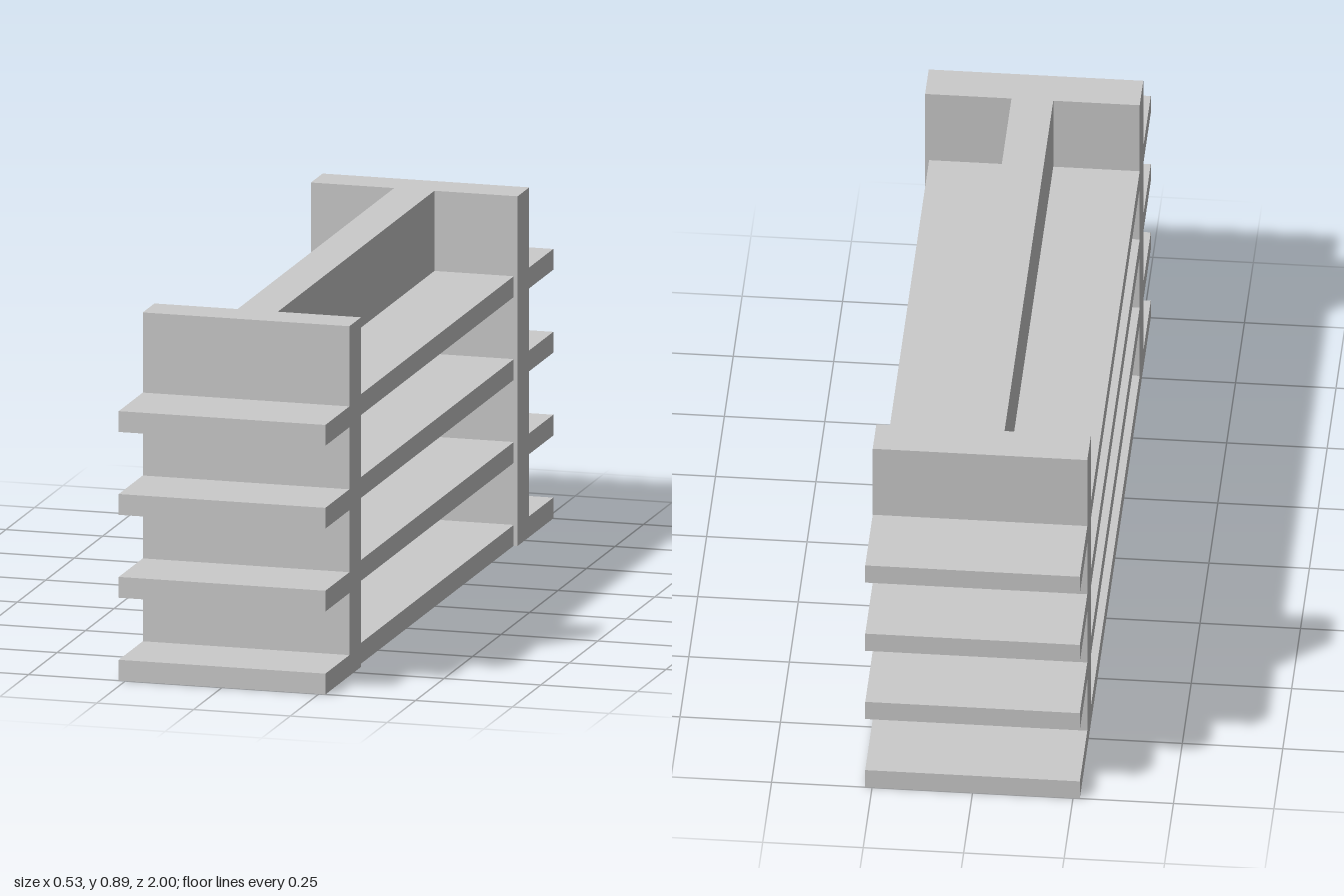
import * as THREE from 'three';

const material = new THREE.MeshStandardMaterial({ color: 0xcccccc });

// Box given by its min and max extents on each axis
function slab(name, [x0, x1], [y0, y1], [z0, z1]) {
  const mesh = new THREE.Mesh(new THREE.BoxGeometry(x1 - x0, y1 - y0, z1 - z0), material);
  mesh.position.set((x0 + x1) / 2, (y0 + y1) / 2, (z0 + z1) / 2);
  mesh.name = name;
  return mesh;
}

export function createModel() {
  const group = new THREE.Group();
  group.name = 'shelvingUnit';

  const height = 0.89, halfWidth = 0.267, halfSpine = 0.052;
  const innerZ = 0.687, outerZ = 0.789, endZ = 1;
  const leftShelfEdge = 0.257; // slightly recessed behind the end panels
  const shelfThickness = 0.053, shelfStep = 0.211;

  // Central upright wall running lengthwise
  group.add(slab('spine', [-halfSpine, halfSpine], [0, height], [-innerZ, innerZ]));

  // Cross panels closing both ends of the spine
  group.add(slab('frontPanel', [-halfWidth, halfWidth], [0, height], [innerZ, outerZ]));
  group.add(slab('backPanel', [-halfWidth, halfWidth], [0, height], [-outerZ, -innerZ]));

  // Four levels of shelves on all four sides
  for (let i = 0; i < 4; i++) {
    const y = [i * shelfStep, i * shelfStep + shelfThickness];
    group.add(slab('leftShelf', [halfSpine, leftShelfEdge], y, [-innerZ, innerZ]));
    group.add(slab('rightShelf', [-halfWidth, -halfSpine], y, [-innerZ, innerZ]));
    group.add(slab('frontShelf', [-halfWidth, halfWidth], y, [outerZ, endZ]));
    group.add(slab('backShelf', [-halfWidth, halfWidth], y, [-endZ, -outerZ]));
  }
  return group;
}
